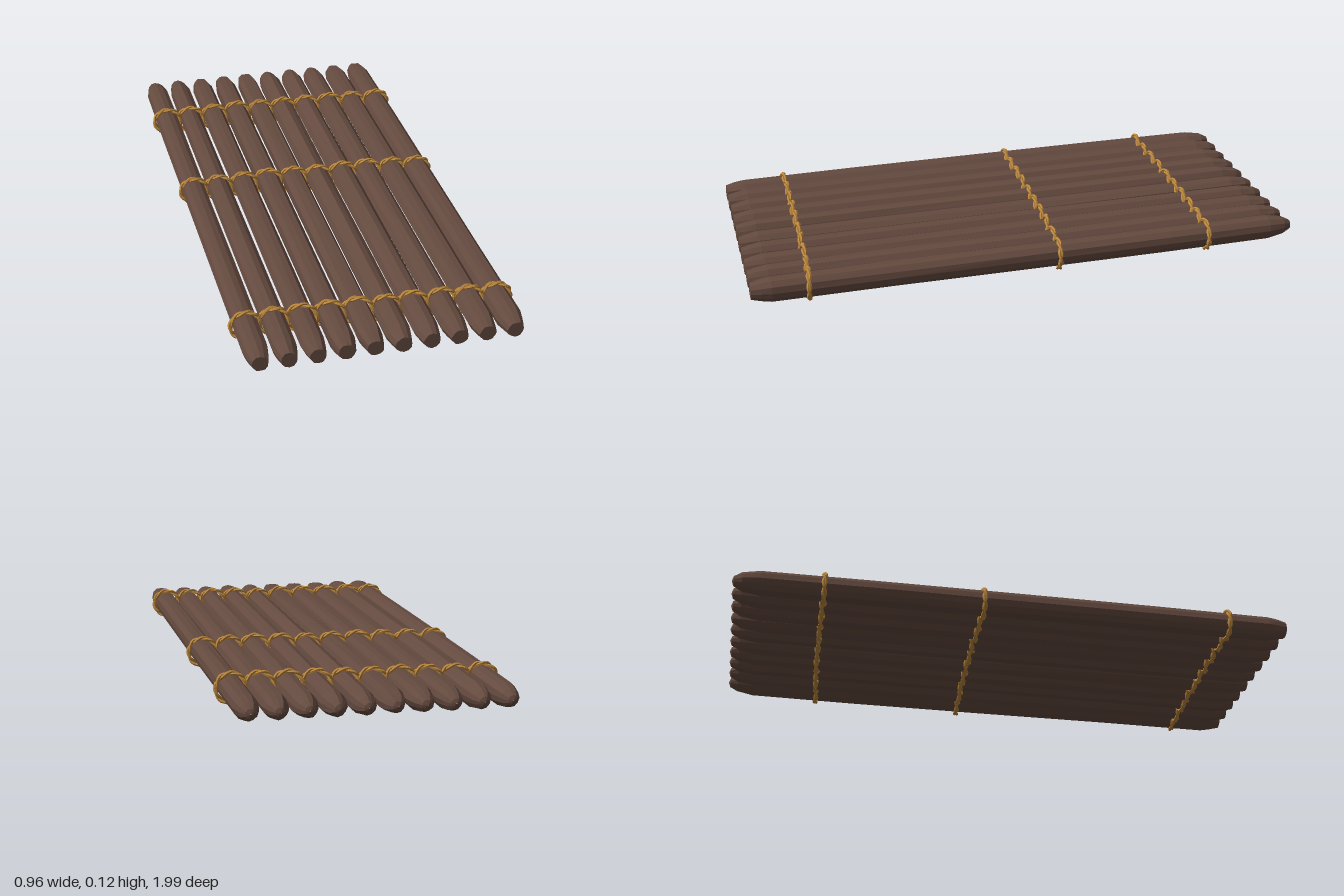
import * as THREE from 'three';

const COUNT = 10, PITCH = 0.094, AXIS_Y = 0.069;

// small seeded noise source
function makeRandom(seed) {
  return () => {
    seed = (seed * 16807) % 2147483647;
    return seed / 2147483647;
  };
}

// Hewn log along z: blunt front, pointed back, uneven grooved sides
function logGeometry(random) {
  const profile = [ // [radius, z] from back tip to front face
    [0.001, -0.978], [0.017, -0.972], [0.031, -0.945], [0.042, -0.885], [0.043, -0.5],
    [0.043, 0], [0.043, 0.5], [0.042, 0.91], [0.036, 0.945], [0.028, 0.978], [0.0, 0.978],
  ].map(([r, z]) => new THREE.Vector2(r, z));
  const sides = 12;
  const geometry = new THREE.LatheGeometry(profile, sides);
  geometry.rotateX(Math.PI / 2);
  const grooves = Array.from({ length: sides }, () => 0.93 + 0.12 * random());
  const rows = profile.map(() => Array.from({ length: sides }, () => 0.98 + 0.05 * random()));
  const p = geometry.attributes.position;
  for (let i = 0; i < p.count; i++) {
    const side = Math.floor(i / profile.length) % sides;
    const scale = grooves[side] * rows[i % profile.length][side];
    p.setXY(i, p.getX(i) * scale, p.getY(i) * scale);
  }
  geometry.computeVertexNormals();
  return geometry;
}

// One strand of a lashing ring, twisted around its partner
function strandGeometry(radius, phase, slope) {
  const points = [];
  const steps = 20;
  for (let i = 0; i < steps; i++) {
    const a = (i / steps) * Math.PI * 2;
    const twist = a * 4 + phase;
    const r = radius + 0.004 * Math.cos(twist);
    const x = r * Math.cos(a);
    points.push(new THREE.Vector3(x, r * Math.sin(a), 0.005 * Math.sin(twist) + x * slope));
  }
  return new THREE.TubeGeometry(new THREE.CatmullRomCurve3(points, true), 40, 0.0055, 5, true);
}

export function createModel() {
  const model = new THREE.Group();
  model.name = 'logRaft';
  const wood = new THREE.MeshStandardMaterial({ color: 0x644a3f, flatShading: true });
  const rope = new THREE.MeshStandardMaterial({ color: 0xb9853c, flatShading: true });
  const random = makeRandom(4217);
  const logX = (i) => (i - (COUNT - 1) / 2) * PITCH;

  // Logs, staggered slightly along the raft
  const logs = new THREE.Group();
  logs.name = 'logs';
  for (let i = 0; i < COUNT; i++) {
    const log = new THREE.Mesh(logGeometry(random), wood);
    log.name = `log${i + 1}`;
    log.position.set(logX(i), AXIS_Y, logX(i) * 0.036);
    logs.add(log);
  }
  model.add(logs);

  // Three rope lashings, a looped ring around every log
  [0.765, -0.112, -0.662].forEach((z, row) => {
    const lashing = new THREE.Group();
    lashing.name = `ropeLashing${row + 1}`;
    for (let i = 0; i < COUNT; i++) {
      const t = logX(i) / 0.423;
      const ring = new THREE.Group();
      ring.name = `ropeRing${i + 1}`;
      const radius = 0.048 + 0.003 * random();
      const slope = 0.12 + 0.2 * (random() - 0.5);
      const phase = random() * Math.PI;
      for (const turn of [0, Math.PI]) {
        const strand = new THREE.Mesh(strandGeometry(radius, phase + turn, slope), rope);
        strand.name = 'ropeStrand';
        ring.add(strand);
      }
      ring.position.set(logX(i), AXIS_Y + 0.006 * (random() - 0.5), z + 0.026 * t + 0.006 * t * t);
      lashing.add(ring);
    }
    model.add(lashing);
  });

  // Rest the lashings on the ground
  model.position.y = -new THREE.Box3().setFromObject(model, true).min.y;
  return model;
}
